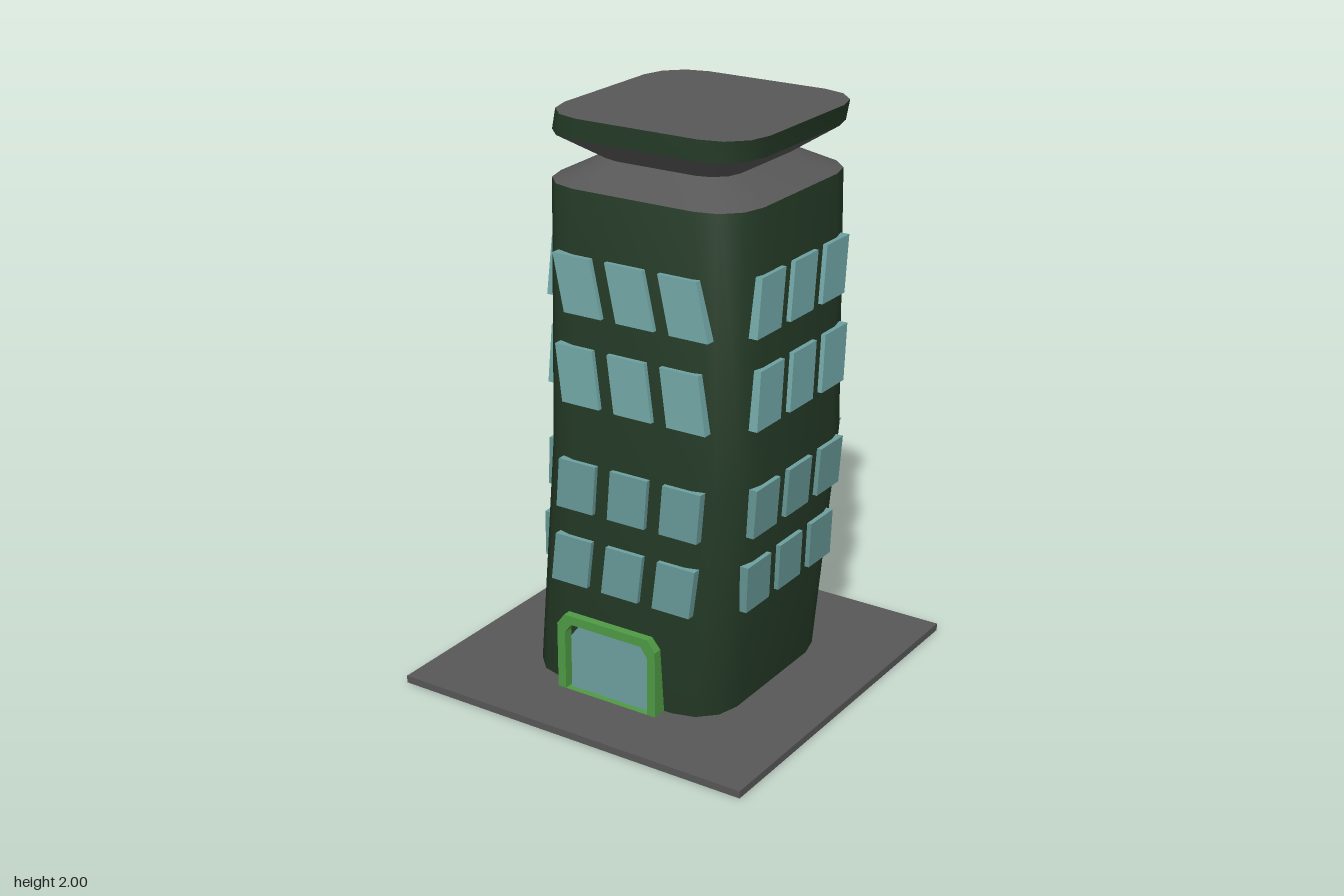
import * as THREE from 'three';
import { toCreasedNormals } from 'three/addons/utils/BufferGeometryUtils.js';

const material = (name, color) => {
  const m = new THREE.MeshStandardMaterial({ color });
  m.name = name;
  return m;
};

// Tower sections: height, centre x, centre z, half width, corner radius
const HALF = 0.39;
const BASE = [0.025, 0, 0, HALF, 0.16];
const BEND = [0.92, 0.13, 0.08, HALF, 0.16];
const EAVE = [1.77, 0.035, -0.07, HALF, 0.16];
const NECK = [1.84, 0.035, -0.072, 0.255, 0.105];
const RIM = [1.93, 0.037, -0.073, HALF, 0.16];
const TOP = [2, 0.05, -0.075, HALF, 0.16];

// Rounded square outline, three facets per corner
function ring([y, cx, cz, half, r]) {
  const pts = [];
  for (let q = 0; q < 4; q++) {
    const mid = Math.PI / 4 + q * Math.PI / 2;
    const sx = Math.sign(Math.cos(mid)), sz = Math.sign(Math.sin(mid));
    for (let k = 0; k <= 3; k++) {
      const a = q * Math.PI / 2 + k * Math.PI / 6;
      pts.push([cx + sx * (half - r) + r * Math.cos(a), y, cz + sz * (half - r) + r * Math.sin(a)]);
    }
  }
  return pts;
}

// Skin stretched over a stack of sections, optionally capped on top
function loft(sections, capped = false) {
  const rings = sections.map(ring), n = rings[0].length, pos = [];
  const tri = (...p) => p.forEach((v) => pos.push(...v));
  for (let s = 0; s < rings.length - 1; s++) {
    for (let i = 0; i < n; i++) {
      const j = (i + 1) % n;
      const a = rings[s][i], b = rings[s][j], c = rings[s + 1][j], d = rings[s + 1][i];
      tri(a, d, c);
      tri(a, c, b);
    }
  }
  if (capped) {
    const [y, cx, cz] = sections[sections.length - 1], last = rings[rings.length - 1];
    for (let i = 0; i < n; i++) tri([cx, y, cz], last[(i + 1) % n], last[i]);
  }
  const g = new THREE.BufferGeometry();
  g.setAttribute('position', new THREE.Float32BufferAttribute(pos, 3));
  return toCreasedNormals(g, 0.7);
}

// Centre of the leaning tower at a given height
function centreAt(y) {
  const [a, b] = y < BEND[0] ? [BASE, BEND] : [BEND, EAVE];
  const t = (y - a[0]) / (b[0] - a[0]);
  return { x: a[1] + (b[1] - a[1]) * t, z: a[2] + (b[2] - a[2]) * t };
}

// Slanted pane that follows the wall; lean is its sideways shift from bottom to top
function windowPane(side, y0, along, lean) {
  const h = 0.183;
  const g = new THREE.BoxGeometry(0.145, h, 0.055);
  const p = g.attributes.position;
  for (let i = 0; i < p.count; i++) {
    const v = p.getY(i), y = y0 + v, c = centreAt(y);
    const t = along + side.flip * p.getX(i) + lean * v / h;
    const out = side.sign * (HALF - 0.011 + p.getZ(i));
    if (side.normal === 'z') p.setXYZ(i, t, y, c.z + out);
    else p.setXYZ(i, c.x + out, y, t);
  }
  g.computeVertexNormals();
  return g;
}

// Arch outline with clipped upper corners
function arch(target, w, h, clip, bottom) {
  target.moveTo(-w, bottom);
  target.lineTo(w, bottom);
  target.lineTo(w, h - clip);
  target.lineTo(w - clip * 0.75, h);
  target.lineTo(-w + clip * 0.75, h);
  target.lineTo(-w, h - clip);
  target.closePath();
  return target;
}

export function createModel() {
  const wall = material('dark green wall', 0x243a26);
  const grey = material('grey concrete', 0x575757);
  const glass = material('teal glass', 0x6ca09f);
  const trim = material('bright green trim', 0x4f9a44);

  const model = new THREE.Group();
  model.name = 'leaningTower';
  const add = (name, geometry, mat, parent = model) => {
    const mesh = new THREE.Mesh(geometry, mat);
    mesh.name = name;
    parent.add(mesh);
    return mesh;
  };

  // Ground slab
  add('groundSlab', new THREE.BoxGeometry(1.36, 0.026, 1.36), grey).position.y = 0.013;

  // Bent tower body, pinched neck and roof
  add('towerBody', loft([BASE, BEND, EAVE]), wall);
  add('roofNeck', loft([EAVE, NECK, RIM]), grey);
  add('roofBand', loft([RIM, TOP]), wall);
  add('roofTop', loft([TOP, TOP], true), grey);

  // Four rows of three windows on every side
  const rows = [0.523, 0.813, 1.185, 1.473];
  const leanZ = [0.035, 0.025, -0.053, -0.06];
  const sides = [
    { name: 'front', normal: 'z', sign: 1, flip: 1, lean: [0.033, 0.026, -0.048, -0.065] },
    { name: 'back', normal: 'z', sign: -1, flip: -1, lean: [0.125, 0.125, -0.02, -0.025] },
    { name: 'left', normal: 'x', sign: 1, flip: -1, lean: leanZ },
    { name: 'right', normal: 'x', sign: -1, flip: 1, lean: leanZ },
  ];
  for (const side of sides) {
    const group = new THREE.Group();
    group.name = side.name + 'Windows';
    model.add(group);
    const axis = side.normal === 'z' ? 'x' : 'z';
    rows.forEach((y, r) => {
      for (let col = -1; col <= 1; col++) {
        const along = centreAt(y)[axis] + col * 0.203;
        add('window', windowPane(side, y, along, side.lean[r]), glass, group);
      }
    });
  }

  // Doorway: frame and glass door
  const frame = arch(new THREE.Shape(), 0.2, 0.308, 0.04, 0.026);
  frame.holes.push(arch(new THREE.Path(), 0.168, 0.276, 0.035, 0.0262));
  add('doorFrame', new THREE.ExtrudeGeometry(frame, { depth: 0.085, bevelEnabled: false }), trim).position.z = 0.36;
  const door = arch(new THREE.Shape(), 0.159, 0.266, 0.045, 0.026);
  add('door', new THREE.ExtrudeGeometry(door, { depth: 0.06, bevelEnabled: false }), glass).position.z = 0.362;

  return model;
}
